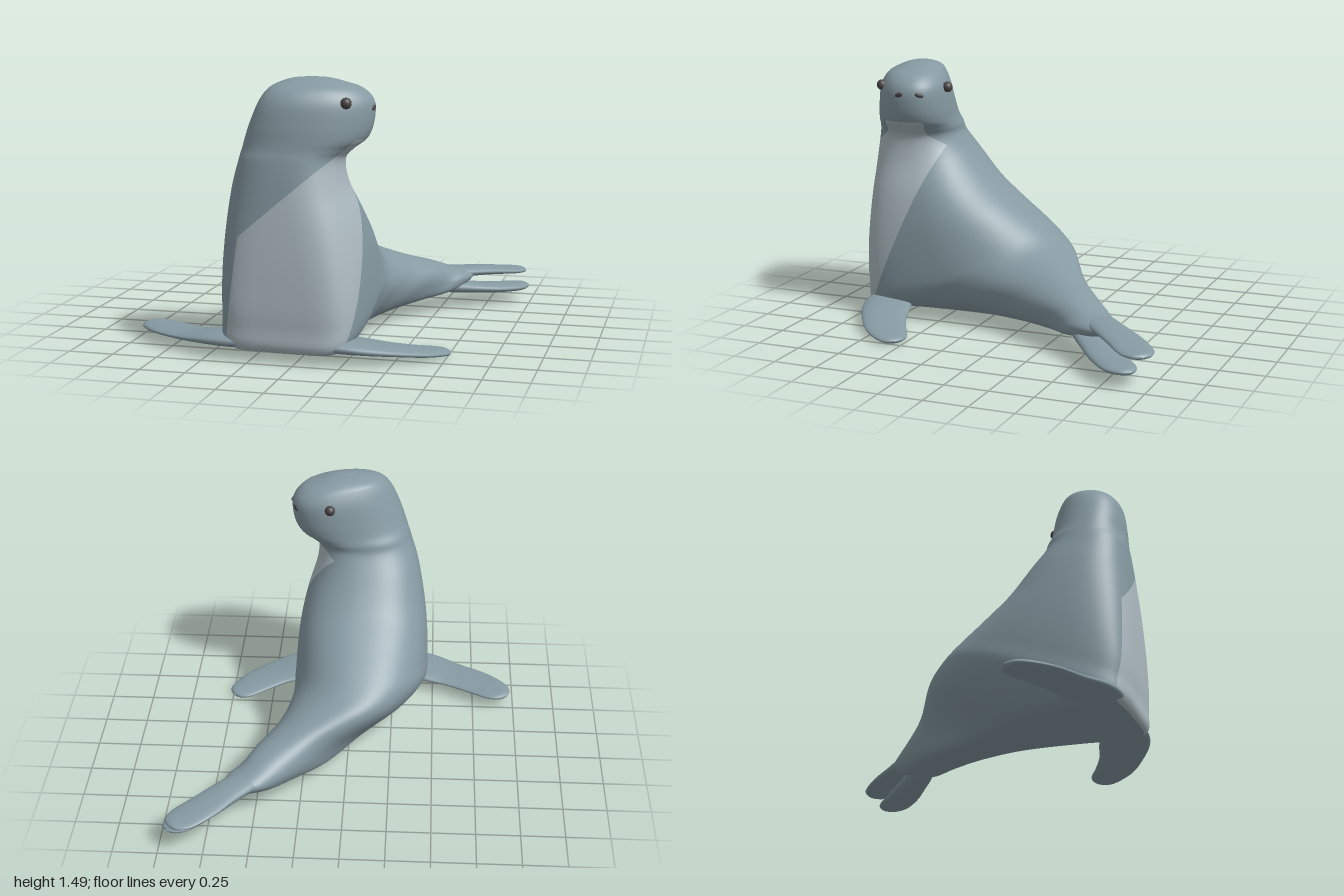
import * as THREE from 'three';

const mat = (color) => new THREE.MeshStandardMaterial({ color });
const skin = mat(0x869aa2), pale = mat(0xaebcc2), dark = mat(0x4a4546);
const v3 = (x, y, z) => new THREE.Vector3(x, y, z);
const ramp = THREE.MathUtils.smoothstep;

// Smooth loft: each section is [centre, U, V], a rounded ring centre + U cos + V sin
function loft(sections, segs, steps, power) {
  const [C, U, V] = [0, 1, 2].map((k) =>
    new THREE.CatmullRomCurve3(sections.map((s) => s[k]), false, 'catmullrom', 0.5));
  const pos = [], index = [];
  for (let j = 0; j <= steps; j++) {
    const t = j / steps, c = C.getPoint(t), u = U.getPoint(t), v = V.getPoint(t);
    for (let i = 0; i < segs; i++) {
      const a = (i / segs) * Math.PI * 2, co = Math.cos(a), si = Math.sin(a);
      const e = power(t, si);
      const p = c.clone()
        .addScaledVector(u, Math.sign(co) * Math.abs(co) ** e)
        .addScaledVector(v, Math.sign(si) * Math.abs(si) ** e);
      pos.push(p.x, p.y, p.z);
      if (j < steps) {
        const n = (i + 1) % segs, r = j * segs;
        index.push(r + i, r + n, r + segs + i, r + n, r + segs + n, r + segs + i);
      }
    }
  }
  const g = new THREE.BufferGeometry();
  g.setAttribute('position', new THREE.Float32BufferAttribute(pos, 3));
  g.setIndex(index);
  return g;
}

// Horizontal rings, crown to neck: y, cx, cz, ux, uz, vx, vz
const HEAD = [
  [1.492, 0.03, 0.70, 0.002, 0, 0, 0.002],
  [1.487, 0.03, 0.70, 0.09, -0.02, 0.01, 0.06],
  [1.465, 0.035, 0.70, 0.17, -0.04, 0.02, 0.12],
  [1.43, 0.055, 0.71, 0.245, -0.065, 0.025, 0.165],
  [1.36, 0.06, 0.715, 0.295, -0.08, 0.025, 0.2],
  [1.25, 0.035, 0.72, 0.317, -0.072, 0.02, 0.217],
  [1.17, 0.005, 0.723, 0.315, -0.055, 0.015, 0.225],
  [1.12, -0.035, 0.725, 0.292, -0.035, 0.01, 0.233],
  [1.06, -0.068, 0.728, 0.277, -0.015, 0, 0.243],
];
// Rings fanning from upright chest to tail: front y, z, back y, z, cx, ux, uz, vx
const TORSO = [
  [0.90, 0.985, 0.95, 0.41, -0.085, 0.305, 0, 0],
  [0.70, 0.995, 0.80, 0.28, -0.075, 0.352, 0, 0],
  [0.45, 0.998, 0.69, 0.14, -0.068, 0.384, 0, 0],
  [0.20, 0.988, 0.59, 0.00, -0.064, 0.396, 0, 0],
  [0.05, 0.94, 0.51, -0.11, -0.055, 0.39, 0.02, -0.02],
  [0.045, 0.57, 0.445, -0.21, 0.02, 0.305, 0.085, -0.06],
  [0.05, 0.20, 0.36, -0.34, 0.175, 0.175, 0.11, -0.12],
  [0.065, -0.10, 0.305, -0.46, 0.315, 0.122, 0.115, -0.13],
  [0.09, -0.32, 0.255, -0.57, 0.445, 0.092, 0.10, -0.09],
  [0.11, -0.47, 0.235, -0.62, 0.54, 0.084, 0.085, -0.05],
  [0.14, -0.58, 0.21, -0.67, 0.62, 0.05, 0.05, -0.03],
  [0.17, -0.66, 0.17, -0.66, 0.66, 0.002, 0.002, 0],
];

function bodyGeometry() {
  const sections = [
    ...HEAD.map(([y, cx, cz, ux, uz, vx, vz]) => [v3(cx, y, cz), v3(ux, 0, uz), v3(vx, 0, vz)]),
    ...TORSO.map(([ay, az, by, bz, cx, ux, uz, vx]) => [
      v3(cx, (ay + by) / 2, (az + bz) / 2), v3(ux, 0, uz), v3(vx, (ay - by) / 2, (az - bz) / 2)]),
  ];
  // Front and belly are squarer than the back, most of all at the foot of the chest
  const g = loft(sections, 72, 120, (t, s) => {
    const foot = ramp(t, 0.45, 0.6) * (1 - ramp(t, 0.67, 0.78));
    const k = 0.34 * ramp(t, 0.3, 0.6) + 0.14 * foot;
    return 0.92 - 0.04 * ramp(t, 0.2, 0.4) - k * Math.sqrt(Math.max(s, 0));
  });
  // Flatten the underside where it rests
  const p = g.attributes.position;
  for (let i = 0; i < p.count; i++) p.setY(i, Math.max(p.getY(i), 0.055));
  g.computeVertexNormals();
  return g;
}

// Planes [a, b, c, d] bounding the pale chest patch, inside where ax + by + cz + d > 0
const CHEST = [
  [0, 0.45, 1, -0.96], [0.85, -1, 0, 0.925], [0, -1, 0, 1.175], [1, -0.14, 0, 0.394], [0, 1, 0, -0.06],
];

// Cuts the body cleanly along those planes; returns [rest, chest]
function splitChest(g) {
  const P = g.attributes.position, N = g.attributes.normal, idx = g.index.array;
  const out = [0, 1].map(() => ({ pos: [], nor: [] }));
  const emit = (o, poly) => {
    for (let k = 1; k + 1 < poly.length; k++) {
      for (const q of [poly[0], poly[k], poly[k + 1]]) {
        o.pos.push(...q.p.toArray());
        o.nor.push(...q.n.toArray());
      }
    }
  };
  for (let i = 0; i < idx.length; i += 3) {
    let poly = [0, 1, 2].map((k) => ({
      p: v3().fromBufferAttribute(P, idx[i + k]), n: v3().fromBufferAttribute(N, idx[i + k]) }));
    for (const [a, b, c, d] of CHEST) {
      const sides = [[], []];
      const f = poly.map(({ p }) => a * p.x + b * p.y + c * p.z + d);
      poly.forEach((q, k) => {
        const m = (k + 1) % poly.length, r = poly[m];
        sides[f[k] > 0 ? 1 : 0].push(q);
        if ((f[k] > 0) !== (f[m] > 0)) {
          const w = f[k] / (f[k] - f[m]);
          const cut = { p: q.p.clone().lerp(r.p, w), n: q.n.clone().lerp(r.n, w).normalize() };
          sides.forEach((s) => s.push(cut));
        }
      });
      emit(out[0], sides[0]);
      poly = sides[1];
    }
    emit(out[1], poly);
  }
  return out.map(({ pos, nor }) => new THREE.BufferGeometry()
    .setAttribute('position', new THREE.Float32BufferAttribute(pos, 3))
    .setAttribute('normal', new THREE.Float32BufferAttribute(nor, 3)));
}

// Flat paddle along a spine of [x, y, z, half width, half thickness]
function flipperGeometry(spine) {
  const pts = spine.map((s) => v3(s[0], s[1], s[2])), down = v3(0, -1, 0);
  const sections = spine.map((s, i) => {
    const dir = pts[Math.min(i + 1, pts.length - 1)].clone().sub(pts[Math.max(i - 1, 0)]);
    const u = down.clone().cross(dir).normalize().multiplyScalar(s[3]);
    return [pts[i], u, down.clone().multiplyScalar(s[4])];
  });
  const g = loft(sections, 24, 32, () => 0.95);
  g.computeVertexNormals();
  return g;
}

const FLIPPERS = {
  rightFrontFlipper: [
    [-0.16, 0.1, 0.85, 0.08, 0.035], [-0.32, 0.098, 0.84, 0.13, 0.042], [-0.46, 0.092, 0.8, 0.145, 0.038],
    [-0.62, 0.078, 0.742, 0.125, 0.026], [-0.78, 0.075, 0.66, 0.12, 0.023], [-0.89, 0.074, 0.58, 0.10, 0.022],
    [-0.945, 0.073, 0.54, 0.06, 0.018], [-0.965, 0.072, 0.525, 0.001, 0.001]],
  leftFrontFlipper: [
    [0.04, 0.1, 0.86, 0.08, 0.035], [0.2, 0.095, 0.835, 0.125, 0.04], [0.34, 0.08, 0.793, 0.142, 0.034],
    [0.48, 0.06, 0.737, 0.127, 0.026], [0.60, 0.04, 0.665, 0.115, 0.023], [0.69, 0.025, 0.585, 0.09, 0.02],
    [0.73, 0.02, 0.55, 0.055, 0.016], [0.745, 0.02, 0.535, 0.001, 0.001]],
  upperTailFlipper: [
    [0.40, 0.2, -0.42, 0.03, 0.03], [0.53, 0.205, -0.57, 0.085, 0.04], [0.64, 0.203, -0.685, 0.092, 0.031],
    [0.75, 0.19, -0.805, 0.1, 0.025], [0.86, 0.176, -0.905, 0.098, 0.02],
    [0.92, 0.172, -0.955, 0.06, 0.016], [0.935, 0.17, -0.97, 0.001, 0.001]],
  lowerTailFlipper: [
    [0.42, 0.15, -0.40, 0.03, 0.03], [0.55, 0.137, -0.515, 0.075, 0.038], [0.66, 0.118, -0.61, 0.085, 0.033],
    [0.78, 0.1, -0.715, 0.095, 0.029], [0.89, 0.09, -0.825, 0.092, 0.025],
    [0.94, 0.09, -0.89, 0.055, 0.018], [0.955, 0.09, -0.915, 0.001, 0.001]],
};

export function createModel() {
  const model = new THREE.Group();
  model.name = 'seal';
  const add = (name, geometry, material) => {
    const m = new THREE.Mesh(geometry, material);
    m.name = name;
    model.add(m);
    return m;
  };

  const [rest, chest] = splitChest(bodyGeometry());
  const body = add('body', rest, skin);
  add('chest', chest, pale);
  for (const [name, spine] of Object.entries(FLIPPERS)) add(name, flipperGeometry(spine), skin);

  // Eyes
  add('leftEye', new THREE.SphereGeometry(0.03, 20, 14), dark).position.set(0.13, 1.36, 0.485);
  add('rightEye', new THREE.SphereGeometry(0.03, 20, 14), dark).position.set(0.25, 1.37, 0.84);

  // Nostrils, set onto the snout surface
  for (const [name, z, tilt] of [['rightNostril', 0.68, 0.25], ['leftNostril', 0.565, -0.25]]) {
    const hit = new THREE.Raycaster(v3(2, 1.335, z), v3(-1, 0, 0)).intersectObject(body)[0];
    const nostril = add(name, new THREE.SphereGeometry(1, 16, 10), dark);
    nostril.scale.set(0.008, 0.013, 0.026);
    nostril.position.copy(hit.point);
    nostril.rotation.set(tilt, Math.atan2(-hit.face.normal.z, hit.face.normal.x), 0, 'YXZ');
  }
  return model;
}
